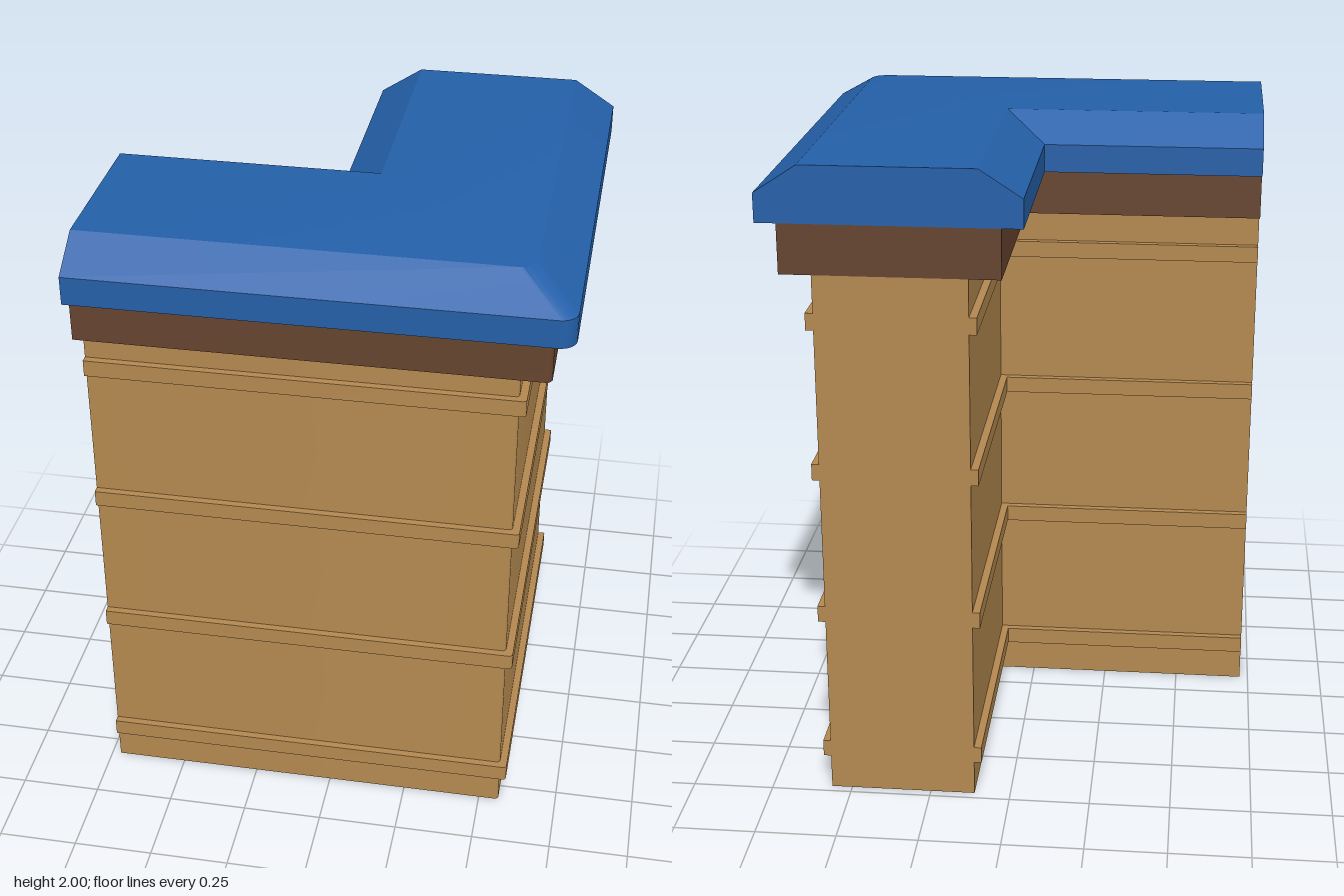
import * as THREE from 'three';
import { toCreasedNormals } from 'three/addons/utils/BufferGeometryUtils.js';

const END = 0.722;    // both arms stop flush here
const CENTRE = 0.338; // centreline of both arms
const STEPS = 6;      // segments of the rounded outer corner

// L-shaped outline, anticlockwise from above, as [x, z] pairs
function outline(half, radius) {
  const o = CENTRE + half, i = CENTRE - half, c = o - radius;
  const points = [[-END, o]];
  for (let k = 0; k <= STEPS; k++) {
    const a = (k / STEPS) * Math.PI / 2;
    points.push([c + radius * Math.sin(a), c + radius * Math.cos(a)]);
  }
  points.push([o, -END], [i, -END], [i, i], [-END, i]);
  return points;
}

// Closed solid through a stack of L outlines; each layer is [halfWidth, y]
function stack(name, layers, radius, material) {
  const rings = layers.map(([half, y]) =>
    outline(half, radius).map(([x, z]) => new THREE.Vector3(x, y, z)));
  const positions = [];
  const tri = (a, b, c) => {
    const area = b.clone().sub(a).cross(c.clone().sub(a)).length();
    if (area > 1e-9) for (const p of [a, b, c]) positions.push(p.x, p.y, p.z);
  };
  for (let r = 0; r < rings.length - 1; r++) {
    const low = rings[r], high = rings[r + 1];
    for (let j = 0; j < low.length; j++) {
      const n = (j + 1) % low.length;
      tri(low[j], low[n], high[n]);
      tri(low[j], high[n], high[j]);
    }
  }
  // Flat top and bottom
  const fill = (ring, up) => {
    const flat = ring.map(p => new THREE.Vector2(p.x, -p.z));
    for (const [a, b, c] of THREE.ShapeUtils.triangulateShape(flat, [])) {
      if (up) tri(ring[a], ring[b], ring[c]);
      else tri(ring[a], ring[c], ring[b]);
    }
  };
  fill(rings[0], false);
  fill(rings[rings.length - 1], true);

  const geometry = new THREE.BufferGeometry();
  geometry.setAttribute('position', new THREE.Float32BufferAttribute(positions, 3));
  const mesh = new THREE.Mesh(toCreasedNormals(geometry, 0.5), material);
  mesh.name = name;
  return mesh;
}

export function createModel() {
  const paint = (name, color) => {
    const material = new THREE.MeshStandardMaterial({ color });
    material.name = name;
    return material;
  };
  const tan = paint('tan wall', 0xb48950);
  const brown = paint('brown trim', 0x66442f);
  const blue = paint('blue cap', 0x2460a9);

  const group = new THREE.Group();
  group.name = 'cornerWall';

  // Wall with four raised bands
  const WALL = 0.226, BAND = 0.249;
  const layers = [[WALL, 0]];
  for (const [low, high] of [[0.11, 0.163], [0.578, 0.63], [1.046, 1.097], [1.514, 1.566]]) {
    layers.push([WALL, low], [BAND, low], [BAND, high], [WALL, high]);
  }
  layers.push([WALL, 1.68]);
  group.add(stack('bandedWall', layers, 0.012, tan));

  // Trim beneath the cap
  group.add(stack('trim', [[0.321, 1.68], [0.321, 1.83]], 0.02, brown));

  // Cap with sloping sides
  group.add(stack('cap', [[0.384, 1.83], [0.384, 1.917], [0.256, 2]], 0.05, blue));

  return group;
}
